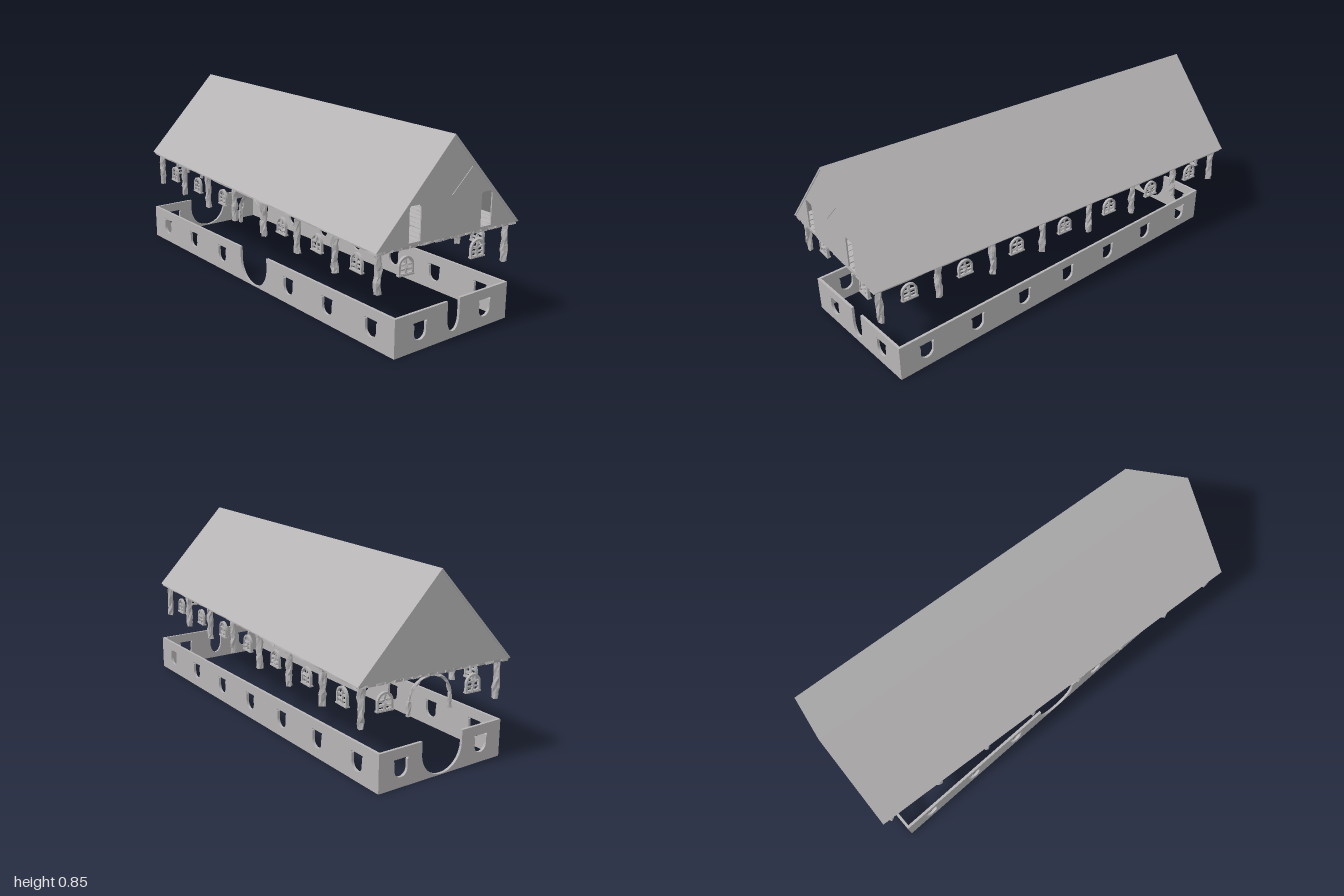
import * as THREE from 'three';

const stone = new THREE.MeshStandardMaterial({ color: 0xb6b4b5, side: THREE.DoubleSide });
stone.name = 'pale grey';

const TURN = 0.0375;                 // roof and walls are turned opposite ways
const WALL = { hx: 0.945, hz: 0.319, h: 0.163, t: 0.012 };
const ROOF = { hx: 0.986, hz: 0.359, eave: 0.45, ridge: 0.845, t: 0.008 };
const STEP = 0.27;                   // spacing of the long-side windows

function mesh(parent, name, geometry, x = 0, y = 0, z = 0) {
  const m = new THREE.Mesh(geometry, stone);
  m.name = name;
  m.position.set(x, y, z);
  parent.add(m);
  return m;
}

function group(parent, name, x = 0, z = 0, turn = 0) {
  const g = new THREE.Group();
  g.name = name;
  g.position.set(x, 0, z);
  g.rotation.y = turn;
  parent.add(g);
  return g;
}

// Flat plate in the xy plane, centred on z = 0
function plate(shape, depth) {
  const geo = new THREE.ExtrudeGeometry(shape, { depth, bevelEnabled: false, curveSegments: 14 });
  return geo.translate(0, 0, -depth / 2);
}

// Rough-hewn timber: vertices shift by a seeded hash of their position
function rough(geometry, amount, seed) {
  const p = geometry.attributes.position;
  const hash = (x, y, z, k) => {
    const s = Math.sin(Math.round(x * 2000) * 12.99 + Math.round(y * 2000) * 78.23
      + Math.round(z * 2000) * 37.72 + k * 11.3 + seed * 4.7) * 43758.55;
    return (s - Math.floor(s) - 0.5) * 2 * amount;
  };
  for (let i = 0; i < p.count; i++) {
    const [x, y, z] = [p.getX(i), p.getY(i), p.getZ(i)];
    p.setXYZ(i, x + hash(x, y, z, 1), y + hash(x, y, z, 2) * 0.5, z + hash(x, y, z, 3));
  }
  const flat = geometry.index ? geometry.toNonIndexed() : geometry;
  flat.computeVertexNormals();
  return flat;
}

// Lower half of a window: small ledge at the top, rounded bottom
function windowHole(x) {
  const p = new THREE.Path();
  p.moveTo(x - 0.036, 0.12);
  p.lineTo(x - 0.036, 0.114);
  p.lineTo(x - 0.032, 0.11);
  p.lineTo(x - 0.032, 0.075);
  p.absellipse(x, 0.075, 0.032, 0.032, Math.PI, Math.PI * 2, false);
  p.lineTo(x + 0.032, 0.11);
  p.lineTo(x + 0.036, 0.114);
  p.lineTo(x + 0.036, 0.12);
  p.closePath();
  return p;
}

// Wall with windows and an optional round-bottomed doorway open at the top
function wallShape(half, windows, door) {
  const s = new THREE.Shape();
  s.moveTo(-half, 0);
  s.lineTo(half, 0);
  s.lineTo(half, WALL.h);
  if (door) {
    s.lineTo(door.w, WALL.h);
    s.lineTo(door.w, door.cy);
    s.absellipse(0, door.cy, door.w, door.ry, 0, -Math.PI, true);
    s.lineTo(-door.w, WALL.h);
  }
  s.lineTo(-half, WALL.h);
  s.closePath();
  windows.forEach(x => s.holes.push(windowHole(x)));
  return s;
}

function archPath(Type, w, base, spring, ry) {
  const s = new Type();
  s.moveTo(-w, base);
  s.lineTo(w, base);
  s.lineTo(w, spring);
  s.absellipse(0, spring, w, ry, 0, Math.PI, false);
  s.closePath();
  return s;
}

// Upper half of a window: arched frame, sill and crossing bars
function archedWindow(parent, x, z, turn, seed) {
  const g = group(parent, 'archedWindow', x, z, turn);
  const frame = archPath(THREE.Shape, 0.036, 0.322, 0.358, 0.037);
  frame.holes.push(archPath(THREE.Path, 0.028, 0.328, 0.358, 0.029));
  mesh(g, 'windowFrame', plate(frame, 0.012));
  mesh(g, 'windowSill', new THREE.BoxGeometry(0.076, 0.006, 0.018), 0, 0.322, 0);
  mesh(g, 'windowMullion', rough(new THREE.BoxGeometry(0.01, 0.064, 0.008, 1, 4, 1), 0.003, seed), 0, 0.357, 0);
  [0.342, 0.362].forEach((y, i) => mesh(g, 'windowBar',
    rough(new THREE.BoxGeometry(0.062, 0.008, 0.008, 4, 1, 1), 0.003, seed + i), 0, y, 0));
}

// Upper half of a large doorway: crooked timber arch on two posts
function doorArch(parent, x, z, turn, seed) {
  const g = group(parent, 'doorArch', x, z, turn);
  const ring = new THREE.TorusGeometry(0.098, 0.006, 5, 18, Math.PI);
  mesh(g, 'archRing', rough(ring, 0.004, seed), 0, 0.328, 0);
  [-1, 1].forEach(s => mesh(g, 'archPost',
    rough(new THREE.BoxGeometry(0.014, 0.06, 0.014, 1, 3, 1), 0.003, seed + s), s * 0.098, 0.306, 0));
}

function buildWalls(root) {
  const g = group(root, 'lowerWalls', 0, 0, TURN);
  const bigDoor = { w: 0.105, cy: 0.109, ry: 0.105 };
  const smallDoor = { w: 0.034, cy: 0.09, ry: 0.061 };
  const row = [-3, -2, -1, 0, 1, 2, 3].map(i => i * STEP);
  const { hx, hz, t } = WALL;
  mesh(g, 'frontWall', plate(wallShape(hx, row.filter(x => x !== 0), bigDoor), t), 0, 0, hz - t / 2);
  mesh(g, 'backWall', plate(wallShape(hx, row), t), 0, 0, -hz + t / 2);
  const right = plate(wallShape(hz - t, [-0.184, 0.184], smallDoor), t);
  const left = plate(wallShape(hz - t, [-0.21, 0.21], bigDoor), t);
  mesh(g, 'narrowDoorEndWall', right, hx - t / 2).rotation.y = Math.PI / 2;
  mesh(g, 'wideDoorEndWall', left, -hx + t / 2).rotation.y = Math.PI / 2;
}

function buildFrames(g) {
  // Two rows of eight rough columns
  for (const s of [-1, 1]) for (let i = 0; i < 8; i++) {
    const post = new THREE.CylinderGeometry(0.014, 0.014, 0.166, 8, 7);
    mesh(g, 'column', rough(post, 0.0045, i + s * 20), (i - 3.5) * 0.2715, 0.359, s * 0.322);
  }
  for (let i = -3; i <= 3; i++) {
    if (i) archedWindow(g, i * STEP, 0.312, 0, i + 5);
    archedWindow(g, i * STEP, -0.312, 0, i + 15);
  }
  for (const s of [-1, 1]) {
    archedWindow(g, 0.94, s * 0.182, Math.PI / 2, 30 + s);
    archedWindow(g, -0.94, s * 0.21, Math.PI / 2, 40 + s);
  }
  doorArch(g, 0, 0.312, 0, 50);
  doorArch(g, -0.94, 0, Math.PI / 2, 60);
}

function buildRoof(g) {
  const { hx, hz, eave, ridge, t } = ROOF;
  // Two slopes as one folded slab
  const fold = new THREE.Shape([[-hz, eave], [0, ridge], [hz, eave], [hz - t * 1.4, eave], [0, ridge - t * 1.4],
    [-hz + t * 1.4, eave]].map(([x, y]) => new THREE.Vector2(x, y)));
  mesh(g, 'roofSlopes', plate(fold, hx * 2)).rotation.y = Math.PI / 2;

  // Gables; the one at +x has two tall openings and a diagonal batten
  for (const s of [-1, 1]) {
    const w = hz - t;
    const gable = new THREE.Shape([[-w, eave], [w, eave], [0, ridge - t]].map(([x, y]) => new THREE.Vector2(x, y)));
    if (s > 0) for (const c of [-0.179, 0.179]) {
      gable.holes.push(new THREE.Path([[-0.028, 0.46], [0.028, 0.46], [0.028, 0.592], [0.022, 0.601],
        [-0.022, 0.601], [-0.028, 0.592]].map(([x, y]) => new THREE.Vector2(c + x, y))));
    }
    mesh(g, 'gable', plate(gable, 0.006), s * (hx - 0.006)).rotation.y = Math.PI / 2;
  }
  const batten = mesh(g, 'gableBatten', new THREE.BoxGeometry(0.004, 0.007, 0.138), hx - 0.002, 0.66, -0.047);
  batten.rotation.x = Math.PI / 4;

  // Ceiling of uneven planks running the full length
  const count = 18, pitch = (hz * 2 - 0.01) / count;
  for (let i = 0; i < count; i++) {
    const plank = new THREE.BoxGeometry(hx * 2 - 0.012, 0.011, pitch - 0.006, 24, 1, 1);
    mesh(g, 'ceilingPlank', rough(plank, 0.0025, i), 0, 0.444, (i - (count - 1) / 2) * pitch);
  }
}

export function createModel() {
  const root = new THREE.Group();
  root.name = 'longHall';
  buildWalls(root);
  const upper = group(root, 'upperHall', 0, 0, -TURN);
  buildFrames(upper);
  buildRoof(upper);
  return root;
}
